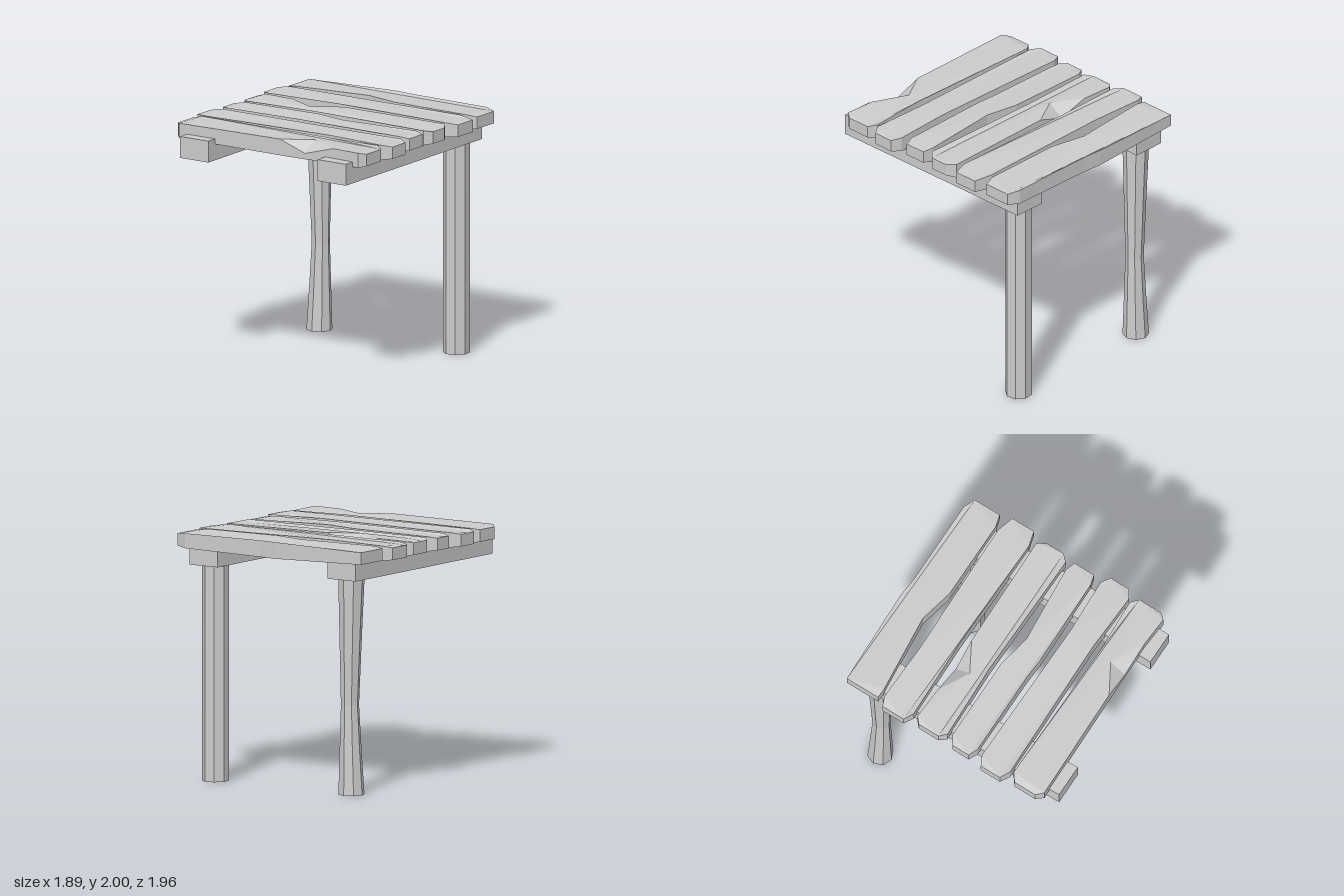
import * as THREE from 'three';

const material = new THREE.MeshStandardMaterial({ color: 0xcccccc, flatShading: true });
const openMaterial = new THREE.MeshStandardMaterial({ color: 0xcccccc, flatShading: true, side: THREE.DoubleSide });

// Plank outlines as [x, z], running along the back edge, then round the right end and home along the front.
// A notch is a split knocked out of the top edge at one outline corner.
const planks = [
  { outline: [[-0.905, -0.96], [-0.08, -0.98], [0.08, -0.965], [0.815, -0.965], [0.915, -0.925], [0.915, -0.69],
    [0.815, -0.66], [0.135, -0.66], [-0.155, -0.725], [-0.825, -0.66], [-0.905, -0.665]] },
  { outline: [[-0.87, -0.625], [-0.39, -0.61], [0.795, -0.63], [0.945, -0.59], [0.945, -0.385], [0.815, -0.35],
    [-0.18, -0.365], [-0.87, -0.35], [-0.95, -0.395], [-0.95, -0.595]] },
  { outline: [[-0.87, -0.315], [-0.6, -0.3], [-0.345, -0.29], [-0.1, -0.3], [0.87, -0.315], [0.915, -0.24],
    [0.915, -0.085], [0.86, -0.03], [-0.23, -0.05], [-0.87, -0.03], [-0.92, -0.085], [-0.92, -0.27]],
  notch: { index: 2, apexZ: -0.16, y: 1.91 } },
  { outline: [[-0.85, 0.005], [-0.14, 0.005], [0.14, 0.06], [0.81, 0.005], [0.895, 0.03], [0.895, 0.215],
    [0.81, 0.24], [0.05, 0.25], [-0.13, 0.24], [-0.85, 0.24], [-0.925, 0.205], [-0.925, 0.05]] },
  { outline: [[-0.87, 0.295], [0.39, 0.315], [0.87, 0.295], [0.945, 0.34], [0.945, 0.515], [0.87, 0.56],
    [0.37, 0.54], [-0.87, 0.56], [-0.95, 0.515], [-0.95, 0.335]] },
  { outline: [[-0.855, 0.585], [0.365, 0.605], [0.85, 0.58], [0.915, 0.63], [0.915, 0.835], [0.87, 0.885],
    [0.62, 0.87], [0.34, 0.865], [0.1, 0.87], [-0.87, 0.885], [-0.92, 0.83], [-0.92, 0.635]],
  notch: { index: 7, apexZ: 0.73, y: 1.91 } },
];

function makePlank({ outline, notch }) {
  // planks are slightly thicker in the middle than at their trimmed ends
  const topY = x => (Math.abs(x) > 0.88 ? 1.978 : Math.abs(x) < 0.5 ? 1.995 : 1.99);
  const bottomY = x => (Math.abs(x) > 0.88 ? 1.88 : Math.abs(x) < 0.5 ? 1.862 : 1.87);
  const bottom = outline.map(([x, z]) => [x, bottomY(x), z]);
  const top = outline.map(([x, z]) => [x, topY(x), z]);
  const rim = top.map(p => [...p]);
  if (notch) {
    top[notch.index][2] = notch.apexZ;
    rim[notch.index][1] = notch.y;
  }
  const points = [];
  const tri = (a, b, c) => points.push(...a, ...b, ...c);

  // upper and lower faces
  const cap = (ring, up) => {
    const flat = ring.map(p => new THREE.Vector2(p[0], p[2]));
    for (const [i, j, k] of THREE.ShapeUtils.triangulateShape(flat, [])) {
      const [a, b, c] = [ring[i], ring[j], ring[k]];
      const facesUp = (b[2] - a[2]) * (c[0] - a[0]) - (b[0] - a[0]) * (c[2] - a[2]) > 0;
      if (facesUp === up) tri(a, b, c);
      else tri(a, c, b);
    }
  };
  cap(top, true);
  cap(bottom, false);

  // sides, and the two sloping faces of a notch
  const n = outline.length;
  for (let i = 0; i < n; i++) {
    const j = (i + 1) % n;
    tri(bottom[i], rim[i], rim[j]);
    tri(bottom[i], rim[j], bottom[j]);
    if (notch && j === notch.index) tri(rim[i], top[j], rim[j]);
    if (notch && i === notch.index) tri(rim[i], top[i], rim[j]);
  }
  const geometry = new THREE.BufferGeometry();
  geometry.setAttribute('position', new THREE.Float32BufferAttribute(points, 3));
  geometry.computeVertexNormals();
  return geometry;
}

// Beam whose back end is shifted sideways a little
function makeBeam(frontX, backX) {
  const geometry = new THREE.BoxGeometry(0.275, 0.175, 1.9);
  const p = geometry.attributes.position;
  for (let i = 0; i < p.count; i++) {
    p.setX(i, p.getX(i) + (p.getZ(i) > 0 ? frontX : backX));
  }
  geometry.translate(0, 1.823, 0.026);
  geometry.computeVertexNormals();
  return geometry;
}

// Eight-sided leg, open at the ends; rings are [y, centre x, radius]
function makeLeg(rings, turn) {
  const geometry = new THREE.CylinderGeometry(1, 1, 1, 8, rings.length - 1, true);
  geometry.rotateY(turn);
  const p = geometry.attributes.position;
  for (let i = 0; i < p.count; i++) {
    const row = Math.round((0.5 - p.getY(i)) * (rings.length - 1));
    const [y, x, r] = rings[row];
    p.setXYZ(i, x + p.getX(i) * r, y, -0.785 + p.getZ(i) * r);
  }
  geometry.computeVertexNormals();
  return geometry;
}

export function createModel() {
  const group = new THREE.Group();
  const add = (name, geometry, mat = material) => {
    const mesh = new THREE.Mesh(geometry, mat);
    mesh.name = name;
    group.add(mesh);
  };

  planks.forEach((plank, i) => add(`plank${i + 1}`, makePlank(plank)));

  add('leftBeam', makeBeam(0.678, 0.663));
  add('rightBeam', makeBeam(-0.658, -0.69));

  add('leftBackLeg', makeLeg([[1.74, 0.647, 0.108], [0, 0.647, 0.108]], -Math.PI / 12), openMaterial);
  // worn, slightly bent leg
  add('rightBackLeg', makeLeg([
    [1.74, -0.685, 0.106], [1.2, -0.677, 0.088], [0.72, -0.671, 0.073], [0.36, -0.677, 0.088], [0, -0.685, 0.105],
  ], 0), openMaterial);

  return group;
}
